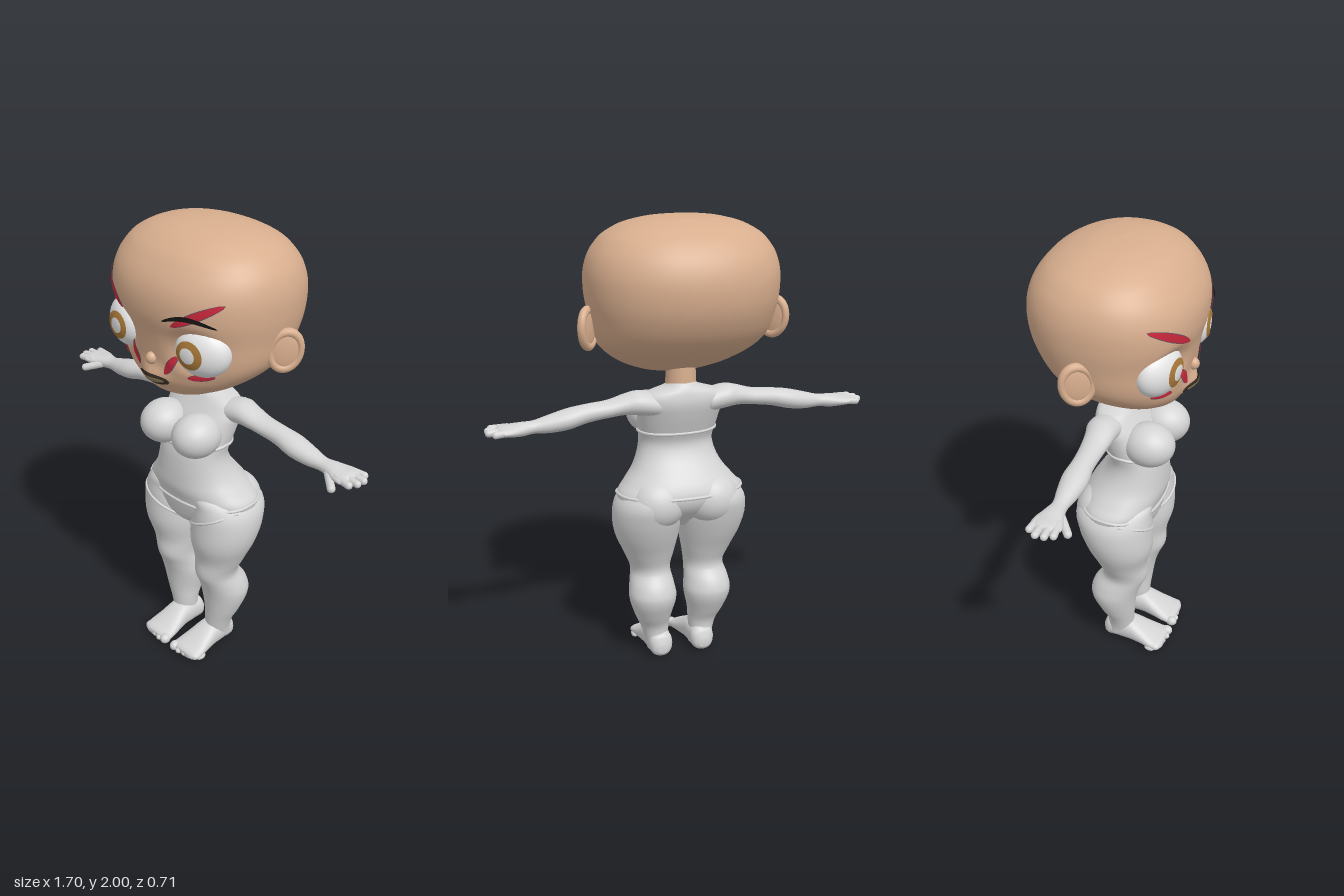
import * as THREE from 'three';

const mat = (name, color, side = THREE.FrontSide) => {
  const m = new THREE.MeshStandardMaterial({ color, side });
  m.name = name;
  return m;
};

// Smooth section lookup. Row: [t, centre a, half width a, b min, b max]
function sections(rows) {
  const values = rows.flatMap(r => r.slice(1));
  const spline = new THREE.CubicInterpolant(rows.map(r => r[0]), values, 4, new Float32Array(4));
  return t => Array.from(spline.evaluate(t));
}

// Point on a superellipse section
function ringPoint([ca, ra, b0, b1], angle, n) {
  const f = v => Math.sign(v) * Math.abs(v) ** (2 / n);
  return [ca + Math.max(ra, 0.001) * f(Math.cos(angle)), (b0 + b1) / 2 + (b1 - b0) / 2 * f(Math.sin(angle))];
}

// Skin a row table along an axis; side = -1 mirrors it across x
function loft(rows, axis, { side = 1, n = 2, segs = 40, steps = 4, warp } = {}) {
  const at = sections(rows), ts = [], pos = [], idx = [];
  rows.forEach((r, i) => {
    if (i) for (let k = 1; k <= steps; k++) ts.push(THREE.MathUtils.lerp(rows[i - 1][0], r[0], k / steps));
    else ts.push(r[0]);
  });
  const put = (t, a, b) => {
    const p = axis === 'y' ? [a, t, b] : axis === 'x' ? [t, b, a] : [a, b, t];
    if (warp) p[2] += warp(...p);
    pos.push(p[0] * side, p[1], p[2]);
  };
  for (const t of ts) {
    const s = at(t);
    for (let j = 0; j < segs; j++) put(t, ...ringPoint(s, j / segs * Math.PI * 2, n));
  }
  const flip = (axis === 'z') !== (side < 0);
  const tri = (a, b, c) => (flip ? idx.push(a, c, b) : idx.push(a, b, c));
  for (let i = 0; i < ts.length - 1; i++) for (let j = 0; j < segs; j++) {
    const a = i * segs + j, b = i * segs + (j + 1) % segs;
    tri(a, a + segs, b);
    tri(b, a + segs, b + segs);
  }
  // end caps
  const last = (ts.length - 1) * segs, c0 = ts.length * segs;
  for (const t of [ts[0], ts[ts.length - 1]]) {
    const s = at(t);
    put(t, s[0], (s[2] + s[3]) / 2);
  }
  for (let j = 0; j < segs; j++) {
    const k = (j + 1) % segs;
    tri(c0, j, k);
    tri(c0 + 1, last + k, last + j);
  }
  const g = new THREE.BufferGeometry();
  g.setAttribute('position', new THREE.Float32BufferAttribute(pos, 3));
  g.setIndex(idx);
  g.computeVertexNormals();
  return g;
}

const HEAD = [[1.325, 0, .03, .12, .2], [1.335, 0, .12, .04, .25], [1.36, 0, .2, -.04, .275], [1.4, 0, .275, -.12, .295],
  [1.45, 0, .335, -.2, .305], [1.5, 0, .37, -.26, .312], [1.6, 0, .395, -.325, .328], [1.7, 0, .41, -.352, .35],
  [1.8, 0, .405, -.345, .342], [1.88, 0, .37, -.305, .3], [1.94, 0, .305, -.24, .24], [1.98, 0, .2, -.145, .155],
  [1.995, 0, .1, -.07, .08], [2, 0, .005, 0, .01]];
const TORSO = [[.64, 0, .05, -.02, .12], [.68, 0, .13, -.06, .17], [.74, 0, .25, -.12, .19], [.8, 0, .282, -.14, .2],
  [.85, 0, .245, -.125, .212], [.9, 0, .205, -.09, .212], [.96, 0, .177, -.045, .208], [1.02, 0, .166, -.025, .2],
  [1.08, 0, .175, -.045, .18], [1.15, 0, .185, -.07, .15], [1.21, 0, .19, -.085, .11], [1.255, 0, .16, -.08, .08],
  [1.28, 0, .08, -.07, .065], [1.3, 0, .055, -.055, .055]];
const LEG = [[.03, .1, .055, -.03, .09], [.08, .108, .055, -.015, .105], [.14, .115, .066, -.015, .11],
  [.2, .125, .083, -.045, .115], [.3, .13, .108, -.085, .13], [.36, .13, .1, -.07, .15], [.42, .127, .09, -.03, .175],
  [.5, .135, .112, -.05, .175], [.6, .147, .143, -.095, .2], [.7, .152, .153, -.13, .2], [.78, .15, .135, -.14, .195],
  [.84, .13, .09, -.1, .18], [.88, .11, .03, -.03, .1]];
const ARM = [[.1, 0, .07, 1.15, 1.25], [.2, -.005, .068, 1.165, 1.27], [.25, 0, .06, 1.17, 1.26], [.32, 0, .052, 1.165, 1.24],
  [.42, 0, .047, 1.15, 1.23], [.5, 0, .055, 1.13, 1.218], [.58, 0, .045, 1.122, 1.198], [.65, 0, .033, 1.125, 1.18],
  [.7, -.003, .045, 1.12, 1.178], [.75, -.003, .062, 1.125, 1.172], [.79, 0, .06, 1.13, 1.168], [.805, 0, .04, 1.14, 1.16]];
const FOOT = [[-.035, .1, .02, .02, .06], [-.02, .1, .045, .004, .1], [.03, .1, .055, 0, .12], [.1, .1, .06, 0, .115],
  [.16, .098, .07, 0, .085], [.22, .097, .08, 0, .055], [.25, .096, .075, .003, .045], [.262, .096, .05, .01, .035]];
const HEAD_N = 2.2;

// Eye sockets pressed in, muzzle pushed out
function faceWarp(x, y, z) {
  const d = ((Math.abs(x) - .2) / .13) ** 2 + ((y - 1.57) / .12) ** 2;
  const socket = -.045 * Math.max(0, 1 - d) ** 2;
  const muzzle = .03 * Math.exp(-((x / .06) ** 2) - ((y - 1.42) / .04) ** 2);
  return (socket + muzzle) * THREE.MathUtils.clamp(z / .15, 0, 1);
}

const frontZ = (at, n) => (x, y) => {
  const [cx, rx, b0, b1] = at(y);
  return (b0 + b1) / 2 + (b1 - b0) / 2 * Math.max(0, 1 - Math.abs((x - cx) / rx) ** n) ** (1 / n);
};

// Painted stroke on the face: tapered strip from p to q with an optional arch
function stroke([px, py], [qx, qy], width, lift, arch = 0) {
  const headZ = frontZ(sections(HEAD), HEAD_N), pos = [], idx = [], N = 20, M = 4;
  const len = Math.hypot(qx - px, qy - py), nx = -(qy - py) / len, ny = (qx - px) / len;
  for (let i = 0; i <= N; i++) for (let j = 0; j <= M; j++) {
    const t = i / N, bow = Math.sin(Math.PI * t);
    const o = arch * bow + width * Math.sqrt(bow + 1e-6) * (j / M * 2 - 1);
    const x = px + (qx - px) * t + nx * o, y = py + (qy - py) * t + ny * o, z = headZ(x, y);
    pos.push(x, y, z + faceWarp(x, y, z) + lift);
    if (i < N && j < M) {
      const a = i * (M + 1) + j, b = a + M + 1;
      idx.push(a, b, a + 1, b, b + 1, a + 1);
    }
  }
  const g = new THREE.BufferGeometry();
  g.setAttribute('position', new THREE.Float32BufferAttribute(pos, 3));
  g.setIndex(idx);
  g.computeVertexNormals();
  return g;
}

export function createModel() {
  const root = new THREE.Group();
  root.name = 'figure';
  const skin = mat('skin', 0xd8ae8e), body = mat('bodyGrey', 0xd4d4d4), white = mat('eyeWhite', 0xe6e6e6);
  const brown = mat('irisBrown', 0xa87838), red = mat('markRed', 0xc8283c, THREE.DoubleSide);
  const edge = mat('markEdge', 0x5a5468, THREE.DoubleSide), black = mat('browBlack', 0x181414, THREE.DoubleSide);
  const dark = mat('lipDark', 0x3a3026, THREE.DoubleSide), teeth = mat('mouthTan', 0x94805c, THREE.DoubleSide);

  const add = (name, geo, material, parent = root) => {
    const m = new THREE.Mesh(geo, material);
    m.name = name;
    parent.add(m);
    return m;
  };
  const ball = (name, material, p, r) =>
    add(name, new THREE.SphereGeometry(1, 32, 24).scale(...r).translate(...p), material);
  const capsule = (name, p, q, r) => {
    const a = new THREE.Vector3(...p), b = new THREE.Vector3(...q), d = b.clone().sub(a);
    const m = add(name, new THREE.CapsuleGeometry(r, d.length(), 6, 14), body);
    m.position.copy(a).add(b).multiplyScalar(.5);
    m.quaternion.setFromUnitVectors(new THREE.Vector3(0, 1, 0), d.normalize());
  };
  const ridge = (name, pts, r, closed) =>
    add(name, new THREE.TubeGeometry(new THREE.CatmullRomCurve3(pts, closed), 64, r, 8, closed), body);

  // Head, neck, nose
  add('head', loft(HEAD, 'y', { n: HEAD_N, segs: 80, steps: 6, warp: faceWarp }), skin);
  add('neck', new THREE.CylinderGeometry(.062, .068, .13, 32).translate(0, 1.335, .01), skin);
  ball('nose', skin, [0, 1.495, .313], [.024, .026, .026]);

  // Torso with raised garment edges
  add('torso', loft(TORSO, 'y', { n: 2.2, segs: 56 }), body);
  const torsoAt = sections(TORSO);
  const band = (name, yAt, grow) => {
    const pts = [];
    for (let i = 0; i < 32; i++) {
      const a = i / 32 * Math.PI * 2, y = yAt(Math.sin(a)), [x, z] = ringPoint(torsoAt(y), a, 2.2);
      pts.push(new THREE.Vector3(x * grow, y, z * grow));
    }
    ridge(name, pts, .007, true);
  };
  band('waistband', s => .805 - .02 * Math.max(0, s), 1.005);
  band('chestBand', s => 1.07 - .02 * Math.max(0, s), 1.005);
  const torsoZ = frontZ(torsoAt, 2.2), legZ = frontZ(sections(LEG), 2);

  // Mouth and single eyebrow
  add('lips', stroke([-.088, 1.41], [.088, 1.41], .026, .006), dark);
  add('mouth', stroke([-.068, 1.41], [.068, 1.41], .013, .009), teeth);
  add('leftEyebrow', stroke([.105, 1.692], [.315, 1.688], .01, .012, .03), black);

  for (const s of [1, -1]) {
    const side = s > 0 ? 'left' : 'right';

    // Eye: tilted flattened ball with an iris ring
    const eye = new THREE.Group();
    eye.name = side + 'Eye';
    eye.position.set(.222 * s, 1.57, .24);
    eye.rotation.y = .35 * s;
    root.add(eye);
    add('eyeball', new THREE.SphereGeometry(1, 40, 28).scale(.118, .105, .075), white, eye);
    const iris = new THREE.SphereGeometry(1.015, 40, 8, 0, Math.PI * 2, .31, .27);
    add('iris', iris.rotateX(Math.PI / 2).rotateY(-.33 * s).scale(.118, .105, .078), brown, eye);

    // Red face marks with a thin dark edge
    [[[.33, 1.782], [.14, 1.675], .016], [[.13, 1.535], [.072, 1.445], .015], [[.275, 1.472], [.175, 1.452], .012]]
      .forEach(([p, q, w]) => {
        const a = [p[0] * s, p[1]], b = [q[0] * s, q[1]];
        add(side + 'MarkEdge', stroke(a, b, w + .003, .006), edge);
        add(side + 'Mark', stroke(a, b, w, .008), red);
      });

    // Ear: cupped disc with a rim
    const ear = new THREE.Group();
    ear.name = side + 'Ear';
    ear.position.set(.41 * s, 1.555, -.02);
    ear.rotation.set(0, .9 * s, -.2 * s, 'YXZ');
    root.add(ear);
    add('earBowl', new THREE.SphereGeometry(1, 28, 20).scale(.064, .085, .018), skin, ear);
    add('earRim', new THREE.TorusGeometry(.06, .015, 12, 40).scale(1, 1.28, 1.2), skin, ear);

    // Bust and seat
    ball(side + 'Bust', body, [.098 * s, 1.125, .165], [.1, .095, .112]);
    ball(side + 'Buttock', body, [.122 * s, .765, -.04], [.125, .115, .11]);
    const hem = [[.272, .785], [.22, .757], [.16, .728], [.1, .7], [.04, .668]];
    ridge(side + 'Hem', hem.map(([x, y]) => new THREE.Vector3(x * s, y, Math.max(torsoZ(x, y), legZ(x, y)))), .006, false);

    // Leg, foot, toes
    add(side + 'Leg', loft(LEG, 'y', { side: s }), body);
    add(side + 'Foot', loft(FOOT, 'z', { side: s, n: 2.3 }), body);
    for (let i = 0; i < 5; i++) {
      const r = i ? .018 - i * .0008 : .023;
      ball(side + 'Toe', body, [(.034 + i * .033) * s, r, .25 - i * i * .0025], [r, r, .026]);
    }

    // Arm with hand
    add(side + 'Arm', loft(ARM, 'x', { side: s, segs: 32 }), body);
    [[-.05, .812], [-.018, .836], [.016, .834], [.046, .818]].forEach(([z, tip]) =>
      capsule(side + 'Finger', [.75 * s, 1.152, z * .85], [tip * s, 1.148, z * 1.05], .0155));
    capsule(side + 'Thumb', [.7 * s, 1.142, .03], [.76 * s, 1.122, .08], .017);
  }
  return root;
}
